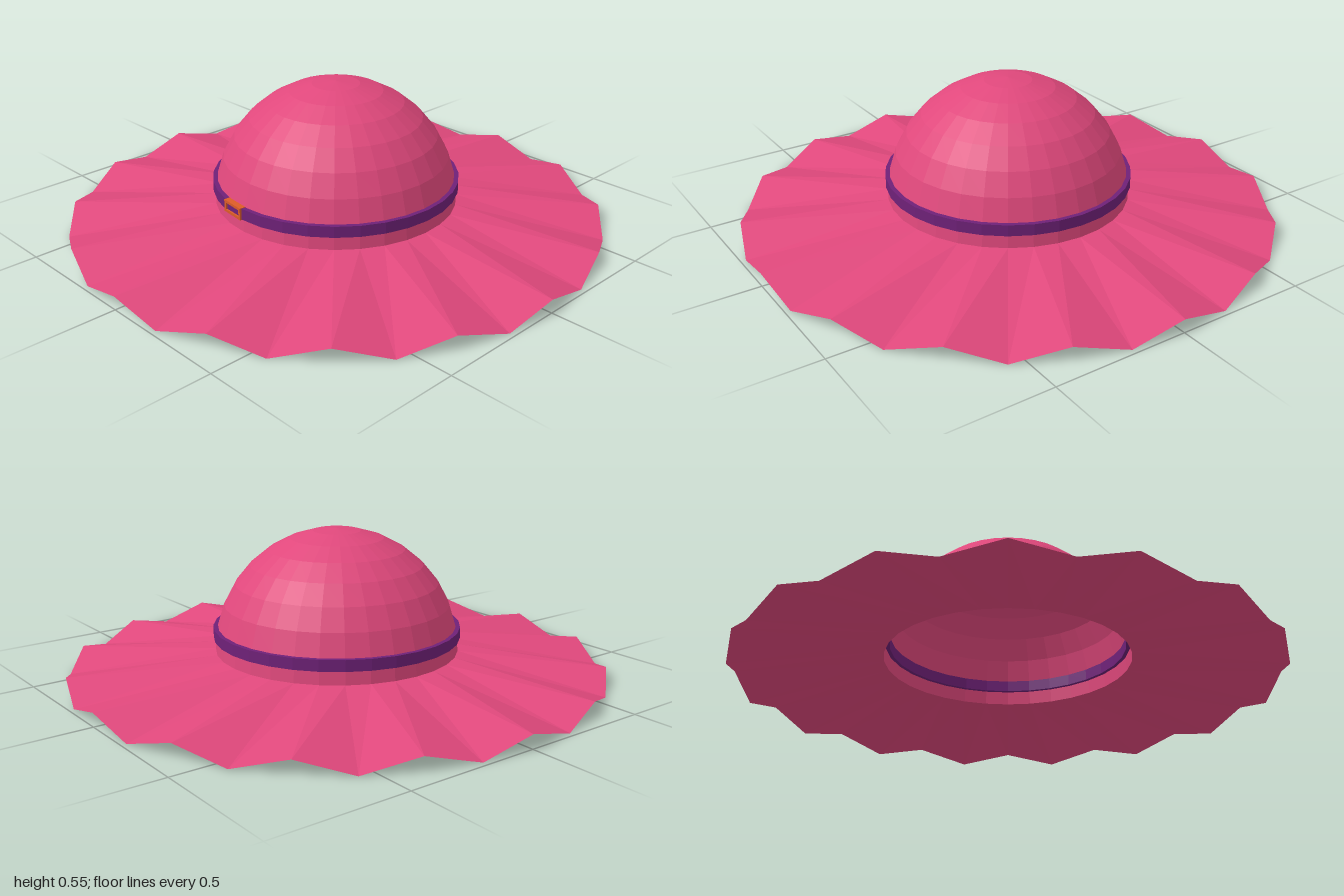
import * as THREE from 'three';

const SEGMENTS = 32;
const CROWN_RADIUS = 0.455;
const BRIM_HEIGHT = 0.09;

function material(color) {
  return new THREE.MeshStandardMaterial({ color, flatShading: true, side: THREE.DoubleSide });
}

function addMesh(parent, name, geometry, mat) {
  const mesh = new THREE.Mesh(geometry, mat);
  mesh.name = name;
  parent.add(mesh);
  return mesh;
}

// Flat ring whose outer edge is pleated up and down
function brimGeometry() {
  const geometry = new THREE.RingGeometry(CROWN_RADIUS, 1, SEGMENTS, 1);
  geometry.rotateX(-Math.PI / 2);
  const pos = geometry.attributes.position;
  for (let i = 0; i <= SEGMENTS; i++) {
    pos.setY(i, BRIM_HEIGHT);
    pos.setY(SEGMENTS + 1 + i, i % 2 ? 0 : 0.05);
  }
  geometry.computeVertexNormals();
  return geometry;
}

// Rectangular frame with a thin border
function buckleGeometry(width, height, border, depth) {
  const rectangle = (path, w, h) => path
    .moveTo(-w / 2, -h / 2).lineTo(w / 2, -h / 2)
    .lineTo(w / 2, h / 2).lineTo(-w / 2, h / 2).closePath();
  const shape = new THREE.Shape();
  rectangle(shape, width, height);
  const hole = new THREE.Path();
  rectangle(hole, width - 2 * border, height - 2 * border);
  shape.holes.push(hole);
  return new THREE.ExtrudeGeometry(shape, { depth, bevelEnabled: false });
}

export function createModel() {
  const hat = new THREE.Group();
  hat.name = 'sunHat';
  const pink = material(0xe0487c);
  const purple = material(0x6f2178);
  const orange = material(0xdc5c28);

  // Open half-sphere crown
  const dome = new THREE.SphereGeometry(CROWN_RADIUS, SEGMENTS, 8, 0, Math.PI * 2, 0, Math.PI / 2);
  addMesh(hat, 'crown', dome, pink).position.y = BRIM_HEIGHT;

  addMesh(hat, 'brim', brimGeometry(), pink);

  // Band passing through the crown wall, so it shows inside and out
  const profile = [[0.436, 0.14], [0.462, 0.14], [0.462, 0.182], [0.436, 0.182], [0.436, 0.14]]
    .map(([r, y]) => new THREE.Vector2(r, y));
  addMesh(hat, 'band', new THREE.LatheGeometry(profile, SEGMENTS), purple);

  // Buckle on the front of the band, slightly off centre
  const buckle = addMesh(hat, 'buckle', buckleGeometry(0.1, 0.046, 0.01, 0.032), orange);
  const angle = -0.11;
  buckle.rotation.y = angle;
  buckle.position.set(Math.sin(angle) * 0.434, 0.161, Math.cos(angle) * 0.434);

  return hat;
}
